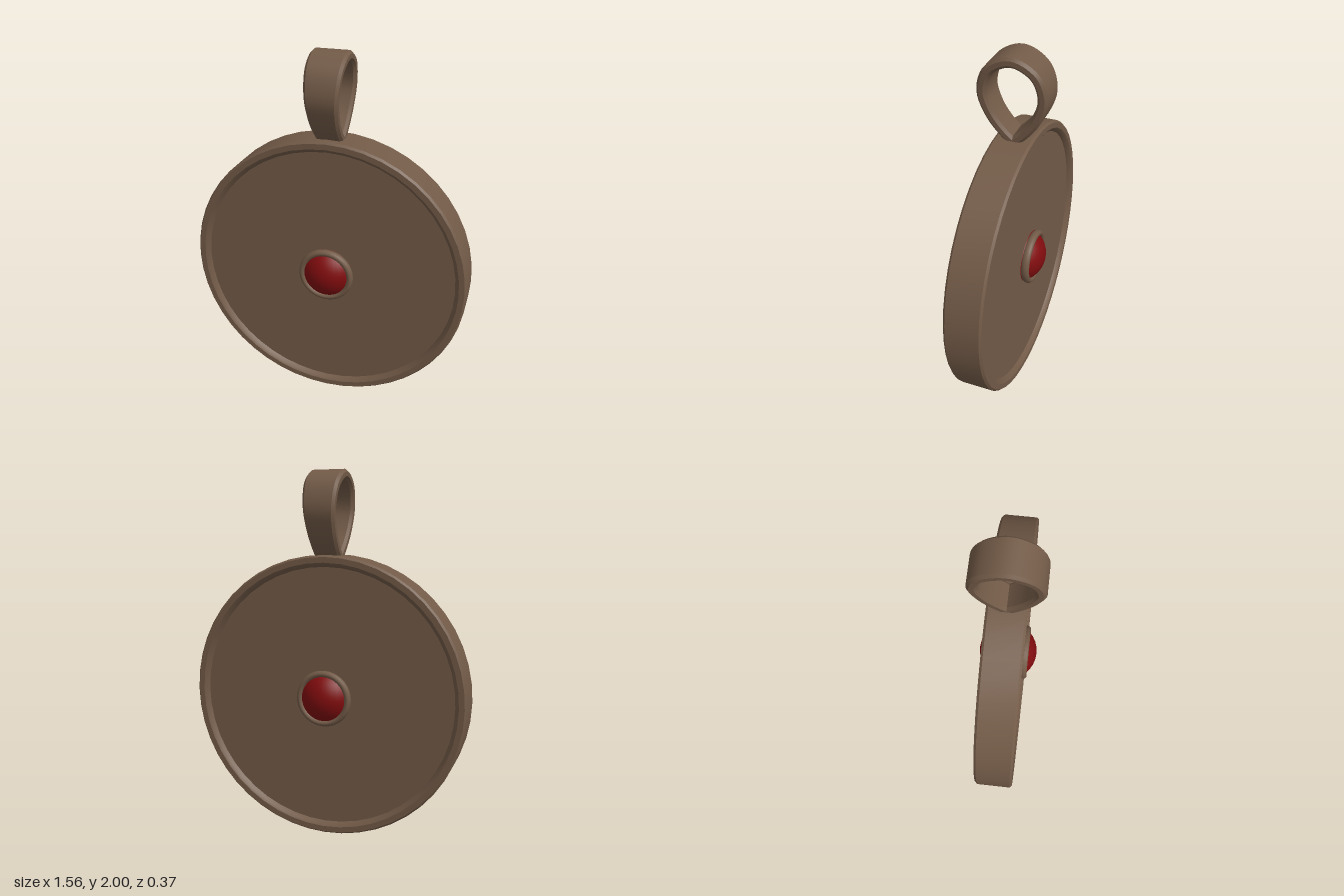
import * as THREE from 'three';
import { toCreasedNormals } from 'three/addons/utils/BufferGeometryUtils.js';

const bronze = new THREE.MeshStandardMaterial({ color: 0x725a47 });
bronze.name = 'bronze';
const red = new THREE.MeshStandardMaterial({ color: 0x800c0e });
red.name = 'gemRed';

const CENTRE_Y = 0.778;

function addMesh(parent, name, geometry, material) {
  const mesh = new THREE.Mesh(geometry, material);
  mesh.name = name;
  parent.add(mesh);
  return mesh;
}

// Round disc with a raised, softened rim and a shallow recess on both faces
function discGeometry() {
  const half = [[0.778, 0.09], [0.768, 0.102], [0.738, 0.102], [0.725, 0.092], [0.715, 0.075], [0, 0.075]];
  const front = half.map(([r, z]) => new THREE.Vector2(r, z));
  const back = half.map(([r, z]) => new THREE.Vector2(r, -z)).reverse();
  const geo = new THREE.LatheGeometry([...back, ...front], 48);
  geo.rotateX(Math.PI / 2);
  return toCreasedNormals(geo, 0.6);
}

// Teardrop strap: a chamfered section swept along a loop, wider at the top
function bailGeometry() {
  const side = [[0, 1.54], [0.062, 1.6], [0.122, 1.685], [0.157, 1.8], [0.117, 1.918]];
  const path = [...side, [0, 1.976], ...side.map(([z, y]) => [-z, y]).reverse()];
  const curve = new THREE.CatmullRomCurve3(path.map(([z, y]) => new THREE.Vector3(0, y, z)));
  const steps = 56;
  const positions = [];
  const index = [];
  for (let i = 0; i <= steps; i++) {
    const p = curve.getPointAt(i / steps);
    const t = curve.getTangentAt(i / steps);
    const out = new THREE.Vector3(0, -t.z, t.y);
    const w = 0.074 + 0.026 * Math.pow(Math.max(0, (p.y - 1.55) / 0.426), 1.3);
    const h = 0.026, c = 0.014;
    const section = [
      [-w + c, h], [w - c, h], [w, h - c], [w, c - h],
      [w - c, -h], [c - w, -h], [-w, c - h], [-w, h - c],
    ];
    for (const [x, d] of section) positions.push(x, p.y + out.y * d, p.z + out.z * d);
  }
  for (let i = 0; i < steps; i++) {
    for (let j = 0; j < 8; j++) {
      const a = i * 8 + j, b = i * 8 + (j + 1) % 8;
      index.push(a, a + 8, b, b, a + 8, b + 8);
    }
  }
  const geo = new THREE.BufferGeometry();
  geo.setAttribute('position', new THREE.Float32BufferAttribute(positions, 3));
  geo.setIndex(index);
  // Make the faces point outward whichever way the loop runs
  const [a, b, c] = [0, 1, 2].map((k) => new THREE.Vector3().fromArray(positions, index[(steps / 2) * 48 + k] * 3));
  if (b.sub(a).cross(c.sub(a)).y < 0) geo.setIndex(index.reverse());
  return toCreasedNormals(geo, 0.6);
}

export function createModel() {
  const model = new THREE.Group();
  model.name = 'pendant';

  addMesh(model, 'disc', discGeometry(), bronze).position.y = CENTRE_Y;
  addMesh(model, 'bail', bailGeometry(), bronze);

  // Gem showing through both faces, held by a bezel on each
  addMesh(model, 'gem', new THREE.SphereGeometry(0.166, 32, 24), red).position.y = CENTRE_Y;
  for (const s of [1, -1]) {
    const bezel = addMesh(model, s > 0 ? 'frontBezel' : 'backBezel', new THREE.TorusGeometry(0.138, 0.018, 10, 36), bronze);
    bezel.position.set(0, CENTRE_Y, s * 0.098);
    bezel.scale.z = 1.3;
  }
  return model;
}
